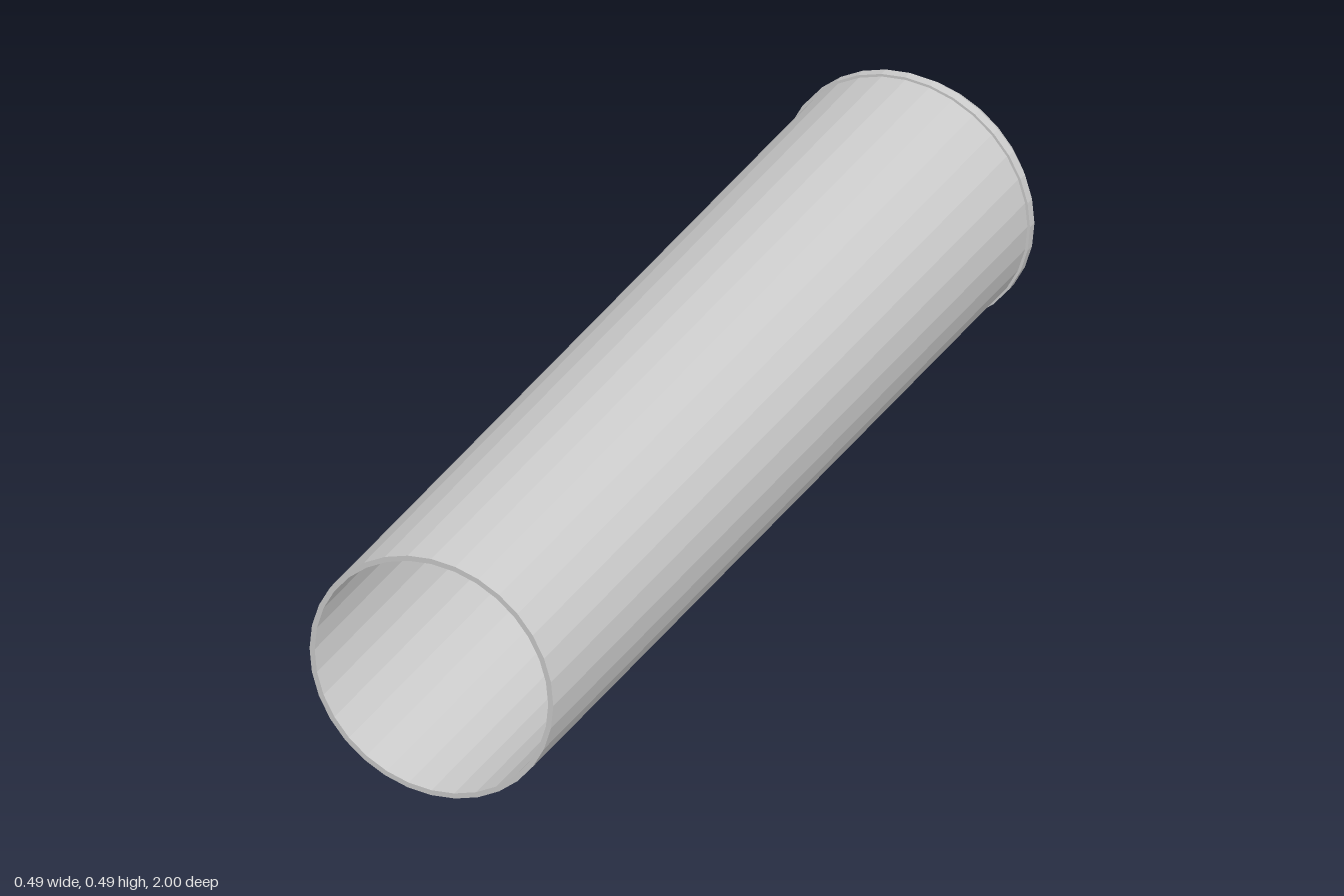
import * as THREE from 'three';

const SIDES = 32;
const AXIS_Y = 0.243;

export function createModel() {
  const model = new THREE.Group();
  const flat = new THREE.MeshStandardMaterial({ color: 0xcccccc, flatShading: true });
  const smooth = new THREE.MeshStandardMaterial({ color: 0xcccccc });

  // Everything shares the horizontal axis of the canister.
  const add = (name, geometry, material = flat) => {
    const mesh = new THREE.Mesh(geometry, material);
    mesh.name = name;
    mesh.position.y += AXIS_Y;
    model.add(mesh);
    return mesh;
  };
  // Profile points are [radius, distance towards the back].
  const turned = (name, points) => {
    const profile = points.map(([r, d]) => new THREE.Vector2(r, d));
    add(name, new THREE.LatheGeometry(profile, SIDES).rotateX(-Math.PI / 2));
  };

  // Open-fronted tube wall
  turned('tube', [[0.228, -1], [0.238, -1], [0.238, 0.93], [0.228, 0.93], [0.228, -1]]);

  // Lid with an overlapping lip and a bevelled shoulder
  turned('lid', [
    [0, 0.925], [0.238, 0.925], [0.238, 0.91], [0.243, 0.91],
    [0.243, 0.928], [0.236, 0.935], [0.226, 0.953], [0.207, 0.972], [0, 0.972],
  ]);

  // Bar handle on the inside of the lid
  const path = new THREE.CurvePath();
  const v = (x, z) => new THREE.Vector3(x, 0.004, z);
  path.add(new THREE.LineCurve3(v(-0.16, -0.925), v(-0.16, -0.9)));
  path.add(new THREE.QuadraticBezierCurve3(v(-0.16, -0.9), v(-0.16, -0.88), v(-0.14, -0.88)));
  path.add(new THREE.LineCurve3(v(-0.14, -0.88), v(0.14, -0.88)));
  path.add(new THREE.QuadraticBezierCurve3(v(0.14, -0.88), v(0.16, -0.88), v(0.16, -0.9)));
  path.add(new THREE.LineCurve3(v(0.16, -0.9), v(0.16, -0.925)));
  add('innerHandle', new THREE.TubeGeometry(path, 60, 0.016, 12), smooth);

  // Pivot and cranked lever on the outside of the lid
  const pivot = add('leverPivot', new THREE.CylinderGeometry(0.017, 0.017, 0.018, 16).rotateX(Math.PI / 2));
  pivot.position.z = -0.979;

  const side = new THREE.Shape([
    [-0.012, 0.982], [0.02, 0.982], [0.05, 0.994], [0.19, 0.994],
    [0.19, 1], [0.048, 1], [0.018, 0.989], [-0.012, 0.989],
  ].map(([x, d]) => new THREE.Vector2(x, d)));
  const leverShape = new THREE.ExtrudeGeometry(side, { depth: 0.016, bevelEnabled: false });
  leverShape.translate(0, 0, -0.008).rotateX(-Math.PI / 2);
  const lever = add('lever', leverShape);
  lever.rotation.z = Math.atan2(0.088, 0.17);

  // Small latch tab near the top of the lid
  const tab = add('latchTab', new THREE.BoxGeometry(0.028, 0.007, 0.004));
  tab.position.set(0.005, AXIS_Y + 0.19, -0.972);

  return model;
}
